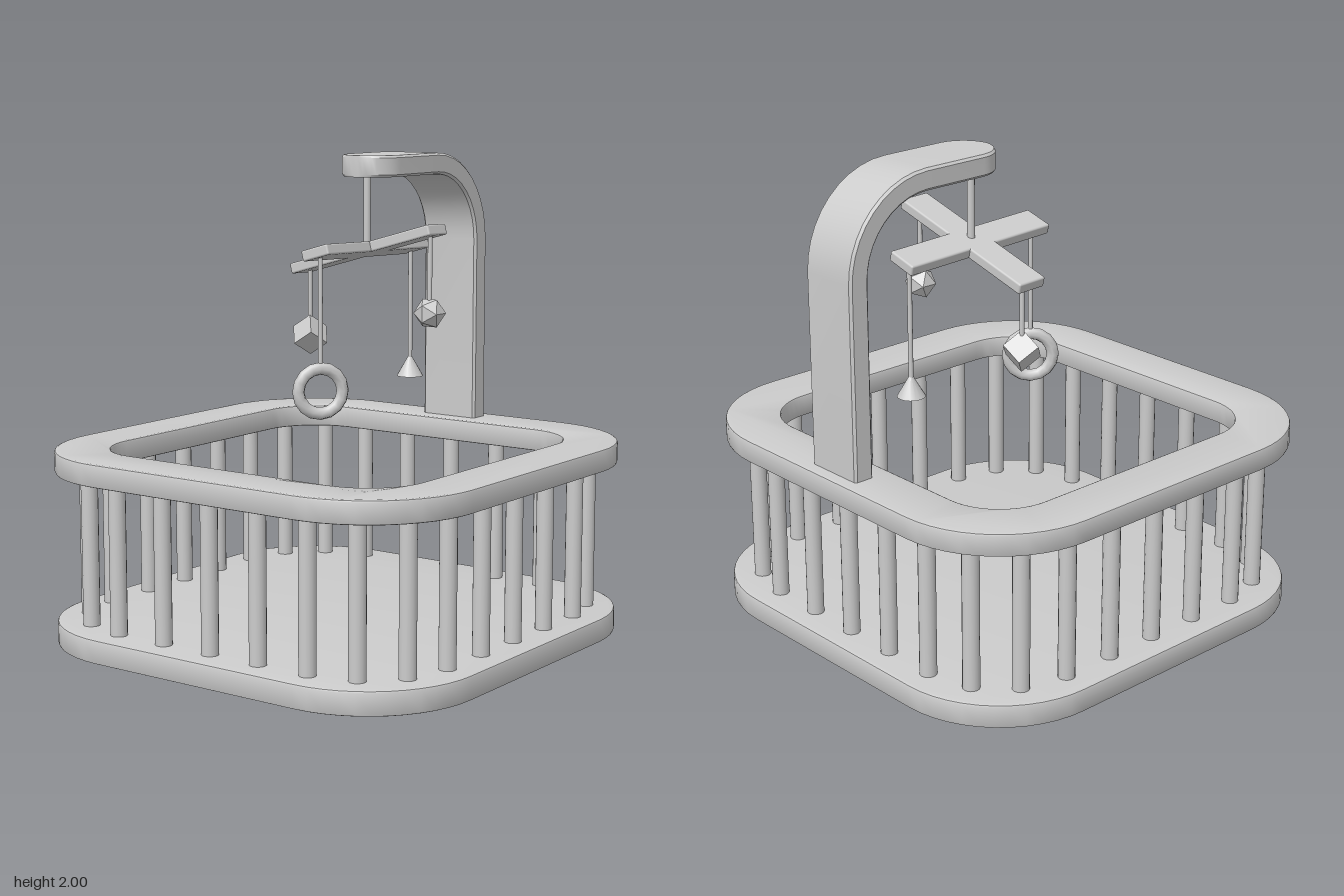
import * as THREE from 'three';
import { toCreasedNormals } from 'three/addons/utils/BufferGeometryUtils.js';
import { RoundedBoxGeometry } from 'three/addons/geometries/RoundedBoxGeometry.js';

const grey = new THREE.MeshStandardMaterial({ color: 0xcccccc });

function add(parent, name, geometry, x = 0, y = 0, z = 0) {
  const mesh = new THREE.Mesh(geometry, grey);
  mesh.name = name;
  mesh.position.set(x, y, z);
  parent.add(mesh);
  return mesh;
}

// Trace a square of half size h with corners of radius r
function roundedSquare(path, h, r) {
  const c = h - r;
  [[c, c], [-c, c], [-c, -c], [c, -c]].forEach(([x, y], i) =>
    path.absarc(x, y, r, i * Math.PI / 2, (i + 1) * Math.PI / 2, false));
  path.closePath();
  return path;
}

// Horizontal slab standing on its own y = 0, with a small bevel
function slab(shape, height, bevel) {
  const g = new THREE.ExtrudeGeometry(shape, {
    depth: height - 2 * bevel, bevelThickness: bevel, bevelSize: bevel,
    bevelOffset: -bevel, bevelSegments: 2, curveSegments: 6,
  });
  g.translate(0, 0, bevel);
  g.rotateX(-Math.PI / 2);
  return toCreasedNormals(g, 0.5);
}

// Flat arm swept from its round tip over the bend down to the rail
function armGeometry() {
  const W = 0.135, T = 0.045, stations = [];
  for (let i = 0; i <= 10; i++) {
    const a = 0.1 + (Math.PI / 2 - 0.1) * i / 10;
    stations.push([-0.245 + W * Math.cos(a), 1.955, 0, W * Math.sin(a)]);
  }
  for (let i = 0; i <= 10; i++) {
    const a = Math.PI / 2 * i / 10;
    stations.push([-0.53 - 0.345 * Math.sin(a), 1.61 + 0.345 * Math.cos(a), a, W]);
  }
  stations.push([-0.875, 0.805, Math.PI / 2, W]);

  const pos = [], index = [], n = 8;
  for (const [z, y, a, w] of stations) {
    const b = Math.min(0.01, w / 2), p = w - b, q = T - b;
    const ring = [[w, -q], [w, q], [p, T], [-p, T], [-w, q], [-w, -q], [-p, -T], [p, -T]];
    for (const [u, v] of ring) pos.push(u, y + v * Math.cos(a), z - v * Math.sin(a));
  }
  const last = (stations.length - 1) * n;
  for (let s = 0; s < last; s += n) {
    for (let j = 0; j < n; j++) {
      const a = s + j, b = s + (j + 1) % n;
      index.push(a, a + n, b, b, a + n, b + n);
    }
  }
  for (let j = 1; j < n - 1; j++) {
    index.push(0, j, j + 1, last, last + j + 1, last + j);
  }
  const g = new THREE.BufferGeometry();
  g.setAttribute('position', new THREE.Float32BufferAttribute(pos, 3));
  g.setIndex(index);
  return toCreasedNormals(g, 0.5);
}

// Vertical cord between two heights
function cord(parent, name, x, z, bottom, top, r = 0.01) {
  add(parent, name, new THREE.CylinderGeometry(r, r, top - bottom, 10), x, (top + bottom) / 2, z);
}

export function createModel() {
  const model = new THREE.Group();
  model.name = 'cribWithMobile';

  // Solid base and open top rail
  add(model, 'base', slab(roundedSquare(new THREE.Shape(), 0.975, 0.48), 0.1, 0.01));
  const railShape = roundedSquare(new THREE.Shape(), 0.975, 0.48);
  railShape.holes.push(roundedSquare(new THREE.Path(), 0.745, 0.25));
  add(model, 'topRail', slab(railShape, 0.095, 0.01), 0, 0.72, 0);

  // Bars: five per side and two round each corner
  const bars = new THREE.Group();
  bars.name = 'bars';
  model.add(bars);
  const barGeometry = new THREE.CylinderGeometry(0.035, 0.035, 0.66, 16);
  const spots = [-0.475, -0.2375, 0, 0.2375, 0.475].map(x => [x, 0.855]);
  spots.push([0.67, 0.805], [0.805, 0.67]);
  for (let side = 0; side < 4; side++) {
    const c = Math.round(Math.cos(side * Math.PI / 2)), s = Math.round(Math.sin(side * Math.PI / 2));
    for (const [x, z] of spots) add(bars, 'bar', barGeometry, x * c + z * s, 0.41, z * c - x * s);
  }

  // Arm holding the mobile
  add(model, 'arm', armGeometry());

  // Tilted cross
  const mobile = new THREE.Group();
  mobile.name = 'mobile';
  model.add(mobile);
  const Z = -0.195;
  cord(mobile, 'hangingRod', 0, Z, 1.6, 1.93, 0.016);
  const cross = new THREE.Group();
  cross.name = 'cross';
  cross.position.set(0, 1.607, Z);
  cross.rotation.set(-0.03, 0, 0.275);
  mobile.add(cross);
  add(cross, 'sideBeam', new RoundedBoxGeometry(0.73, 0.045, 0.135, 2, 0.008));
  add(cross, 'frontBackBeam', new RoundedBoxGeometry(0.135, 0.045, 0.735, 2, 0.008));

  // Hanging toys
  cord(mobile, 'cubeCord', -0.298, Z, 1.25, 1.52);
  add(mobile, 'cubeToy', new THREE.BoxGeometry(0.1, 0.1, 0.1), -0.298, 1.225, Z).rotation.set(0.85, 0.5, 0.3);

  cord(mobile, 'gemCord', 0.317, Z, 1.38, 1.69);
  const gem = new THREE.IcosahedronGeometry(0.067, 0);
  add(mobile, 'gemToy', gem, 0.317, 1.36, Z);

  cord(mobile, 'ringCord', 0, 0.132, 1.15, 1.61);
  add(mobile, 'ringToy', new THREE.TorusGeometry(0.094, 0.026, 8, 16), 0, 1.047, 0.132).rotation.y = 0.9;

  cord(mobile, 'coneCord', 0, -0.52, 1.1, 1.6);
  add(mobile, 'coneToy', new THREE.ConeGeometry(0.058, 0.1, 16), 0, 1.083, -0.52);

  return model;
}
